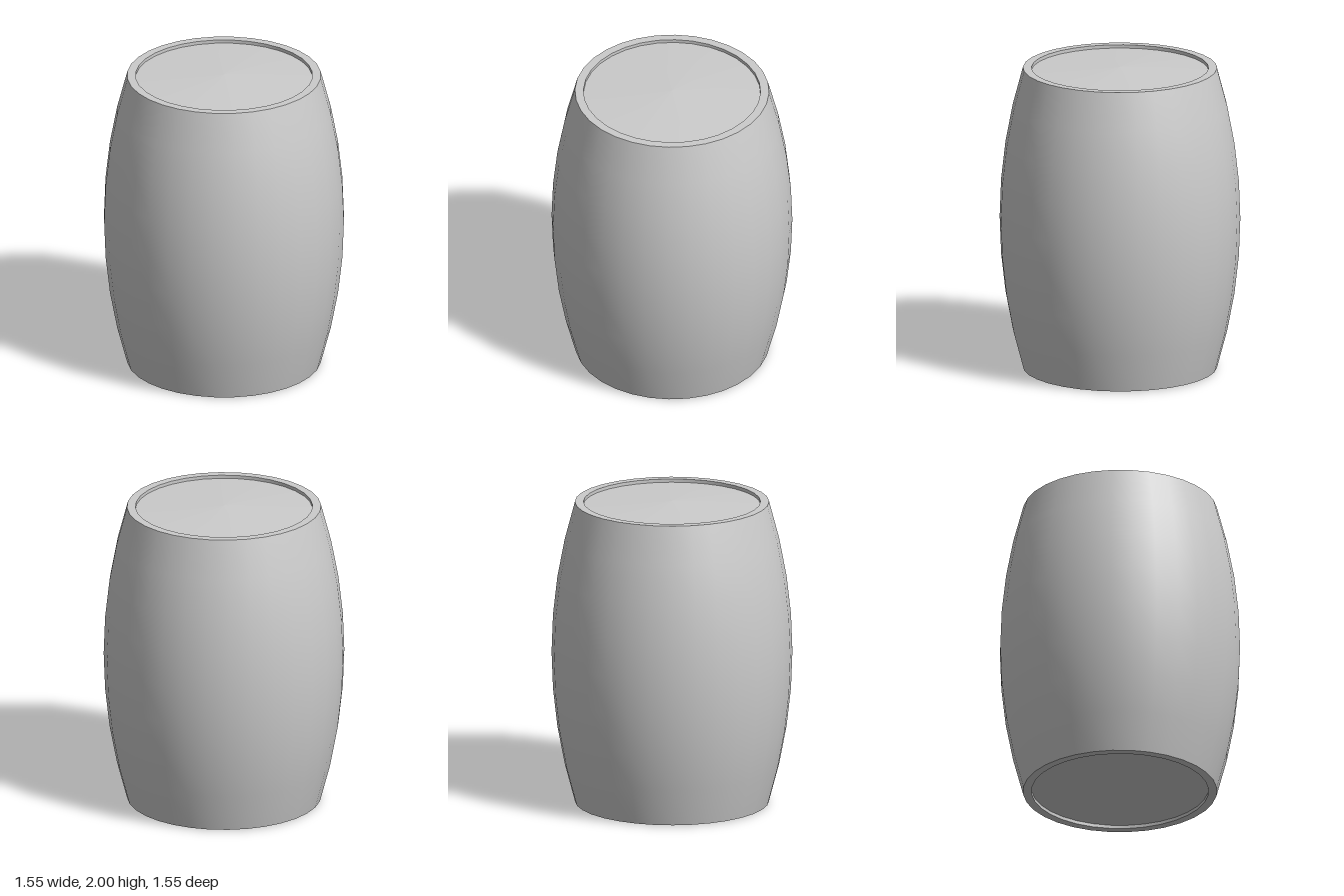
import * as THREE from 'three';

const SIDES = 32, BULGE = 0.775, SAG = 0.15, INNER = 0.57;
const RIM = 0.005;   // rim height above the ground
const EDGE = 0.027;  // depth of the recessed head edge

export function createModel() {
  const group = new THREE.Group();
  const material = new THREE.MeshStandardMaterial({ color: 0xcccccc });

  // Revolve a profile; points run counter-clockwise in (radius, y)
  const revolve = (name, points) => {
    const profile = points.map(([r, y]) => new THREE.Vector2(r, y));
    const mesh = new THREE.Mesh(new THREE.LatheGeometry(profile, SIDES), material);
    mesh.name = name;
    group.add(mesh);
  };

  // Bulging staves
  const staves = [];
  for (let i = 0; i <= 8; i++) {
    const t = i / 4 - 1;
    staves.push([BULGE - SAG * t * t, 1 + t * (1 - RIM)]);
  }
  revolve('staves', staves);

  // Flat rims, recess walls and shallow conical heads, separate for sharp edges
  const outer = BULGE - SAG;
  const end = {
    Head: [[0, 0], [INNER, EDGE]],
    RecessWall: [[INNER, EDGE], [INNER, RIM]],
    Rim: [[INNER, RIM], [outer, RIM]],
  };
  for (const [part, points] of Object.entries(end)) {
    revolve('bottom' + part, points);
    revolve('top' + part, points.map(([r, y]) => [r, 2 - y]).reverse());
  }
  return group;
}
